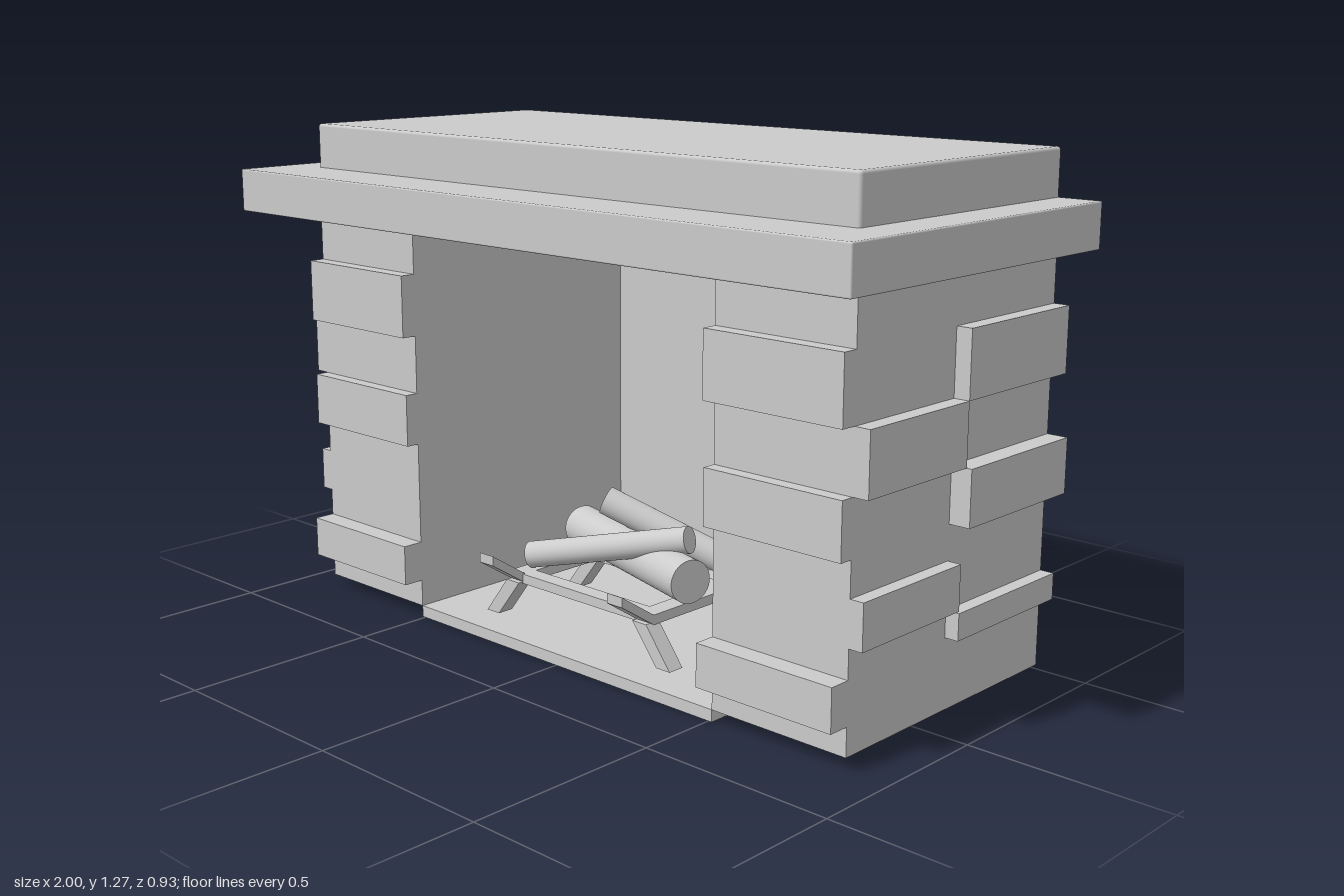
import * as THREE from 'three';
import { RoundedBoxGeometry } from 'three/addons/geometries/RoundedBoxGeometry.js';

const material = new THREE.MeshStandardMaterial({ color: 0xcccccc });

export function createModel() {
  const model = new THREE.Group();
  model.name = 'fireplace';

  const add = (name, geometry, parent = model) => {
    const mesh = new THREE.Mesh(geometry, material);
    mesh.name = name;
    parent.add(mesh);
    return mesh;
  };
  // Box from its limits; a bevel softens the edges
  const block = (name, [x0, x1], [y0, y1], [z0, z1], bevel = 0) => {
    const size = [x1 - x0, y1 - y0, z1 - z0];
    const geometry = bevel
      ? new RoundedBoxGeometry(...size, 2, bevel)
      : new THREE.BoxGeometry(...size);
    add(name, geometry).position.set((x0 + x1) / 2, (y0 + y1) / 2, (z0 + z1) / 2);
  };
  const extrude = (points, depth) => {
    const shape = new THREE.Shape(points.map(p => new THREE.Vector2(...p)));
    return new THREE.ExtrudeGeometry(shape, { depth, bevelEnabled: false })
      .translate(0, 0, -depth / 2);
  };

  // Mantel shelf, upper slab, hearth floor and back panel
  const back = -0.455, front = 0.295, split = -0.06;
  block('mantelShelf', [-1, 1], [1.05, 1.16], [back, 0.465], 0.004);
  block('upperSlab', [-0.89, 0.89], [1.15, 1.275], [back, front], 0.008);
  block('hearthFloor', [-0.51, 0.51], [0, 0.03], [back, front]);
  block('backPanel', [-0.51, 0.51], [0, 1.05], [-0.465, back]);

  // Pillars with raised stones on the front and outer faces
  const frontStones = [[0.755, 0.915, 0.335], [0.47, 0.605, 0.33], [0.1, 0.205, 0.35]];
  const sideStones = [
    [0.755, 0.915, 0.93, back, split],
    [0.605, 0.755, 0.93, split, front],
    [0.47, 0.605, 0.943, back, split],
    [0.275, 0.385, 0.925, split, front],
    [0.205, 0.27, 0.925, back, split],
  ];
  for (const side of [-1, 1]) {
    const span = (a, b) => (side > 0 ? [a, b] : [-b, -a]);
    block('pillar', span(0.51, 0.89), [0.03, 1.05], [back, front]);
    for (const [y0, y1, z] of frontStones)
      block('frontStone', span(0.51, 0.89), [y0, y1], [front, z]);
    for (const [y0, y1, x, z0, z1] of sideStones)
      block('sideStone', span(0.89, x), [y0, y1], [z0, z1]);
  }

  // Log grate: rails with upturned ends, cross bars and splayed legs
  const grate = new THREE.Group();
  grate.name = 'logGrate';
  grate.position.z = 0.065;
  model.add(grate);
  const railProfile = [
    [-0.145, 0.145], [0.145, 0.145], [0.253, 0.215], [0.253, 0.24],
    [0.145, 0.17], [-0.145, 0.17], [-0.253, 0.24], [-0.253, 0.215],
  ];
  for (const side of [-1, 1]) {
    add('grateRail', extrude(railProfile, 0.05).rotateY(-Math.PI / 2), grate)
      .position.x = side * 0.225;
    const legProfile = [[0.2, 0.15], [0.245, 0.15], [0.322, 0.05], [0.278, 0.05]]
      .map(([x, y]) => [side * x, y]);
    for (const end of [-1, 1])
      add('grateLeg', extrude(legProfile, 0.045), grate).position.z = end * 0.145;
  }
  for (const z of [-0.13, 0.13])
    add('grateCrossBar', new THREE.BoxGeometry(0.42, 0.025, 0.045), grate)
      .position.set(0, 0.1575, z);

  // Stacked logs
  const logs = [
    [[-0.262, 0.225, -0.06], [0.258, 0.225, 0.09], 0.055],
    [[-0.225, 0.205, 0.165], [0.2, 0.305, 0.03], 0.034],
    [[-0.097, 0.345, 0.02], [0.2, 0.205, -0.13], 0.037],
  ];
  for (const [a, b, radius] of logs) {
    const start = new THREE.Vector3(...a), end = new THREE.Vector3(...b);
    const axis = end.clone().sub(start);
    const log = add('log', new THREE.CylinderGeometry(radius, radius, axis.length(), 32));
    log.position.copy(start).add(end).multiplyScalar(0.5);
    log.quaternion.setFromUnitVectors(new THREE.Vector3(0, 1, 0), axis.normalize());
  }
  return model;
}
